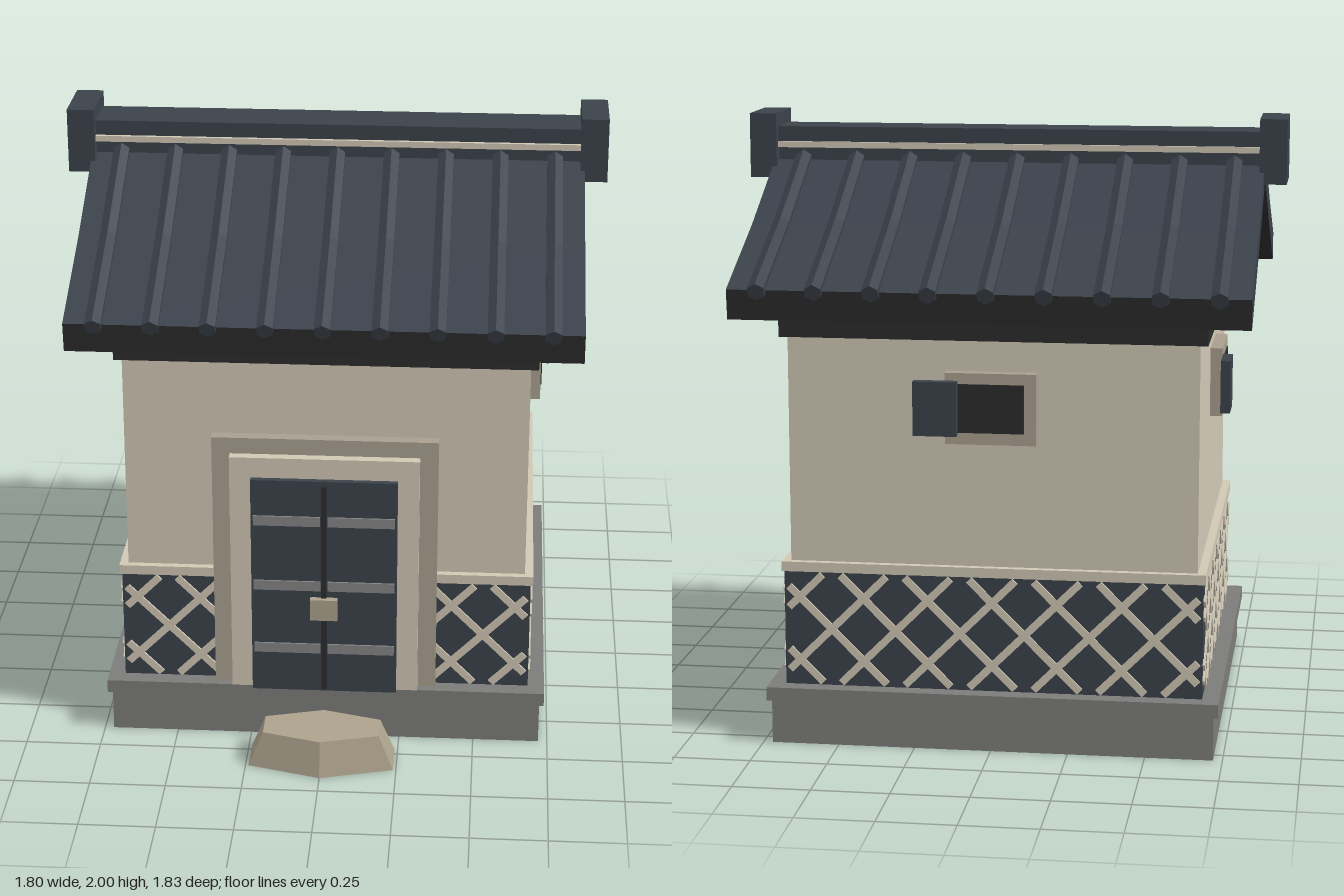
import * as THREE from 'three';

const mat = (name, color, side = THREE.FrontSide) =>
  Object.assign(new THREE.MeshStandardMaterial({ color, flatShading: true, side }), { name });

const ZC = -0.085; // z of the building's middle

export function createModel() {
  const plaster = mat('plaster', 0xd0c7b4);
  const trim = mat('trim', 0xa99f8f);
  const slate = mat('slate', 0x3b424b);
  const black = mat('black wood', 0x2c2b2b);
  const grey = mat('foundation grey', 0x7c7c7a, THREE.DoubleSide);
  const iron = mat('iron', 0x838484);
  const stone = mat('stone', 0xaca28c, THREE.DoubleSide);

  const model = new THREE.Group();
  const add = (name, geo, m, parent = model) => {
    const mesh = new THREE.Mesh(geo, m);
    mesh.name = name;
    parent.add(mesh);
    return mesh;
  };
  // Box given by its limits on each axis
  const box = (name, m, x0, x1, y0, y1, z0, z1, parent = model) => {
    const mesh = add(name, new THREE.BoxGeometry(x1 - x0, y1 - y0, z1 - z0), m, parent);
    mesh.position.set((x0 + x1) / 2, (y0 + y1) / 2, (z0 + z1) / 2);
    return mesh;
  };
  // Box centred on the building, by half width and half depth
  const block = (name, m, hx, y0, y1, hz) => box(name, m, -hx, hx, y0, y1, ZC - hz, ZC + hz);
  const group = (name, x, y, z, turn) => {
    const g = new THREE.Group();
    g.name = name;
    g.position.set(x, y, z);
    g.rotation.y = turn;
    model.add(g);
    return g;
  };
  // Extrudes a (z, y) outline along x, centred
  const extrudeX = (points, width) => {
    const geo = new THREE.ExtrudeGeometry(
      new THREE.Shape(points.map(([z, y]) => new THREE.Vector2(-z, y))),
      { depth: width, bevelEnabled: false });
    return geo.translate(0, 0, -width / 2).rotateY(Math.PI / 2).translate(0, 0, ZC);
  };

  // Foundation: open underneath, with a projecting cap
  const base = new THREE.CylinderGeometry(Math.SQRT2, Math.SQRT2, 0.145, 4, 1, true);
  base.rotateY(Math.PI / 4).scale(0.72, 1, 0.72).translate(0, 0.0725, ZC);
  add('foundation', base, grey);
  block('foundationCap', grey, 0.735, 0.145, 0.19, 0.735);

  // Walls
  block('walls', plaster, 0.66, 0.19, 1.34, 0.665);
  block('tilePanel', slate, 0.68, 0.19, 0.57, 0.68);
  block('tilePanelTrim', plaster, 0.688, 0.57, 0.602, 0.688);
  block('eaveBeam', black, 0.685, 1.34, 1.49, 0.685);

  // Diagonal lattice on all four sides, clipped to the panel
  const W = 0.665, H = 0.18, STEP = 0.21;
  for (let side = 0; side < 4; side++) {
    const turn = side * Math.PI / 2;
    const g = group('lattice', Math.sin(turn) * 0.681, 0.38, ZC + Math.cos(turn) * 0.681, turn);
    for (let k = -4; k < 4; k++) {
      const c = (k + 0.5) * STEP;
      const u0 = Math.max(-W, c - H), u1 = Math.min(W, c + H);
      if (u1 - u0 < 0.02) continue;
      for (const s of [1, -1]) {
        const strip = add('latticeStrip',
          new THREE.BoxGeometry((u1 - u0) * Math.SQRT2, 0.024, 0.012), plaster, g);
        const mid = (u0 + u1) / 2;
        strip.position.set(mid, s * (mid - c), 0);
        strip.rotation.z = s * Math.PI / 4;
      }
    }
  }

  // Door with stepped surround, iron bars and lock
  box('doorOuterFrame', trim, -0.37, 0.37, 0.19, 1.085, 0.57, 0.62);
  box('doorInnerFrame', plaster, -0.31, 0.31, 0.19, 1.03, 0.6, 0.652);
  box('door', slate, -0.24, 0.24, 0.19, 0.96, 0.63, 0.672);
  box('doorSeam', black, -0.009, 0.009, 0.2, 0.945, 0.66, 0.68);
  for (const y of [0.35, 0.582, 0.817]) {
    for (const s of [1, -1]) {
      const bar = box('doorBar', iron, 0.012, 0.232, y - 0.017, y + 0.017, 0.66, 0.678);
      bar.position.x *= s;
    }
  }
  box('doorLock', stone, -0.045, 0.045, 0.465, 0.54, 0.66, 0.695);

  // Windows; shut gives the side on which the open shutter hangs
  const windowAt = (x, z, turn, shut) => {
    const g = group('window', x, 1.125, z, turn);
    box('windowFrame', trim, -0.146, 0.146, -0.115, 0.115, -0.02, 0.04, g);
    box('windowOpening', black, -0.107, 0.107, -0.077, 0.08, 0.036, 0.044, g);
    const shutter = box('windowShutter', slate, 0.105, 0.245, -0.085, 0.09, 0.04, 0.072, g);
    shutter.position.x *= shut;
  };
  windowAt(0.66, ZC, Math.PI / 2, 1);
  windowAt(-0.66, ZC, -Math.PI / 2, -1);
  windowAt(0, ZC - 0.665, Math.PI, -1);

  // Gable with a round ring at each end
  add('gable', extrudeX([[0.485, 1.485], [0, 1.785], [-0.485, 1.485]], 1.32), plaster);
  for (const s of [1, -1]) {
    const ring = add('gableRing', new THREE.TorusGeometry(0.0725, 0.0185, 6, 20), black);
    ring.rotation.y = Math.PI / 2;
    ring.position.set(s * 0.665, 1.575, ZC);
  }

  // Roof: bent slab, dark on the eave ends and underside
  const top = [[0.8, 1.507], [0.43, 1.665], [0, 1.88]];
  const under = [[0, 1.79], [0.43, 1.575], [0.79, 1.41]];
  const mirror = (pts) => pts.map(([z, y]) => [-z, y]).reverse();
  const roof = extrudeX(
    [...top, ...mirror(top).slice(1), ...mirror(under), ...under.slice(1)], 1.65);
  roof.clearGroups();
  const nrm = roof.attributes.normal;
  for (let i = 0; i < nrm.count; i += 3) {
    const dark = Math.abs(nrm.getX(i)) < 0.5 && nrm.getY(i) < 0.1;
    roof.addGroup(i, 3, dark ? 1 : 0);
  }
  add('roof', roof, [slate, black]);

  // Six-sided ribs following both slopes
  const rib = [[0, 1.88], [0.43, 1.665], [0.815, 1.503]];
  for (let k = -4; k <= 4; k++) {
    for (const s of [1, -1]) {
      for (let i = 0; i < 2; i++) {
        const [z0, y0] = rib[i], [z1, y1] = rib[i + 1];
        const dz = s * (z1 - z0), dy = y1 - y0;
        const mesh = add('roofRib',
          new THREE.CylinderGeometry(0.03, 0.03, Math.hypot(dz, dy), 6), slate);
        mesh.position.set(k * 0.1815, (y0 + y1) / 2, ZC + s * (z0 + z1) / 2);
        mesh.rotation.x = Math.atan2(dz, dy);
      }
    }
  }

  // Ridge with pale band and end blocks
  block('ridgeBase', slate, 0.81, 1.8, 1.885, 0.075);
  block('ridgeBand', plaster, 0.81, 1.885, 1.905, 0.095);
  block('ridgeCap', slate, 0.815, 1.905, 1.955, 0.082);
  for (const s of [1, -1]) {
    const end = box('ridgeEnd', slate, 0.81, 0.9, 1.785, 2, ZC - 0.115, ZC + 0.115);
    end.position.x *= s;
  }

  // Stepping stone, open underneath
  const step = new THREE.CylinderGeometry(0.8, 1, 0.12, 6, 1, true);
  add('steppingStone', step.scale(0.277, 1, 0.133).translate(0, 0.06, 0.787), stone);
  const lid = new THREE.CircleGeometry(0.8, 6, Math.PI / 6).rotateX(-Math.PI / 2);
  add('steppingStoneTop', lid.scale(0.277, 1, 0.133).translate(0, 0.12, 0.787), stone);

  return model;
}
